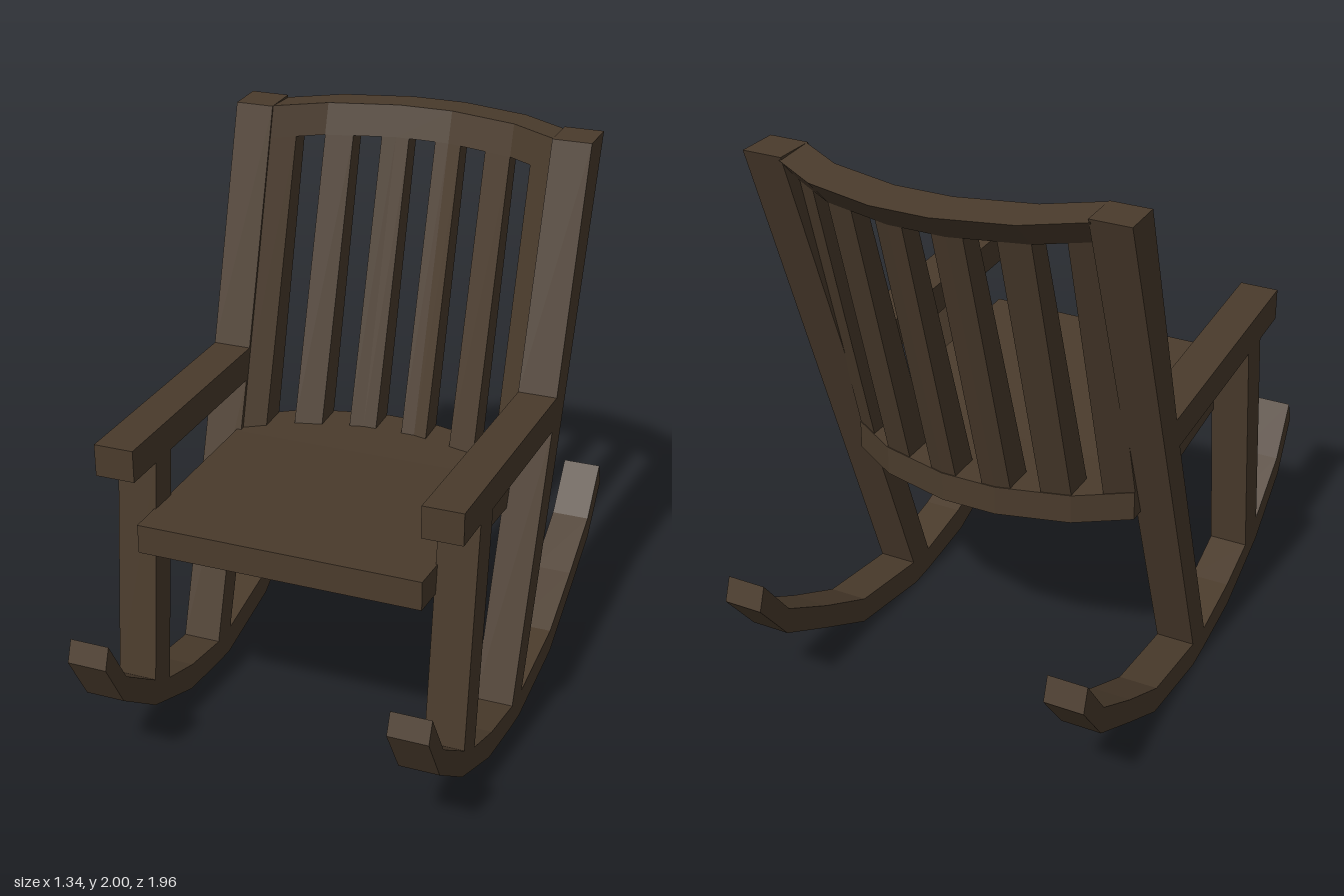
import * as THREE from 'three';

const wood = new THREE.MeshStandardMaterial({ color: 0x4a3b2c, flatShading: true });

// Stations across the curved back, and how far each comes forward of the middle
const STATIONS = [-0.53, -0.35, -0.1, 0.1, 0.35, 0.53];
function bow(x) {
  const a = Math.abs(x);
  if (a <= 0.1) return 0;
  return a <= 0.35 ? (a - 0.1) * 0.26 : 0.065 + (a - 0.35) * 0.63;
}

function addMesh(parent, name, geometry) {
  geometry.computeVertexNormals();
  const mesh = new THREE.Mesh(geometry, wood);
  mesh.name = name;
  parent.add(mesh);
}

// Board cut from a [z, y] outline, 0.14 wide, toed in slightly towards the front
function sideBoard(parent, name, side, outline) {
  const shape = new THREE.Shape(outline.map(([z, y]) => new THREE.Vector2(z, y)));
  const g = new THREE.ExtrudeGeometry(shape, { depth: 0.14, bevelEnabled: false });
  g.rotateY(-Math.PI / 2).translate(0.07 + side * 0.58, 0, 0);
  const p = g.attributes.position;
  for (let i = 0; i < p.count; i++) p.setX(i, p.getX(i) - side * 0.02 * p.getZ(i));
  addMesh(parent, name, g);
}

// Box whose vertices are placed by rule(x, top 0..1, front 0..1) -> [x, y, z]
function bentBox(parent, name, xs, depthSegments, rule) {
  const n = xs.length - 1;
  const g = new THREE.BoxGeometry(1, 1, 1, n, 1, depthSegments);
  const p = g.attributes.position;
  for (let i = 0; i < p.count; i++) {
    const x = xs[Math.round((p.getX(i) + 0.5) * n)];
    p.setXYZ(i, ...rule(x, p.getY(i) + 0.5, p.getZ(i) + 0.5));
  }
  addMesh(parent, name, g);
}

export function createModel() {
  const chair = new THREE.Group();
  chair.name = 'rockingChair';

  const outlines = {
    Rocker: [
      [0.95, 0.605], [0.84, 0.42], [0.63, 0.27], [0.52, 0.21], [0.33, 0.145], [0.1, 0.1],
      [-0.02, 0.1], [-0.36, 0.145], [-0.6, 0.265], [-0.82, 0.39], [-0.95, 0.56],
      [-0.98, 0.475], [-0.84, 0.3], [-0.6, 0.17], [-0.37, 0.05], [0, 0],
      [0.1, 0.01], [0.35, 0.05], [0.64, 0.17], [0.87, 0.34], [0.98, 0.53],
    ],
    FrontLeg: [[0.63, 0.26], [0.52, 0.2], [0.415, 1.085], [0.535, 1.095]],
    BackPost: [[0.1, 0.09], [-0.01, 0.09], [-0.25, 0.765], [-0.69, 2], [-0.54, 2], [-0.27, 1.155], [-0.235, 1.045]],
    Armrest: [[0.7, 1.205], [0.7, 1.09], [-0.235, 1.045], [-0.275, 1.16]],
  };
  for (const [side, word] of [[1, 'left'], [-1, 'right']]) {
    for (const [part, outline] of Object.entries(outlines)) {
      sideBoard(chair, word + part, side, outline);
    }
  }

  // Seat: sloping front section, level curved back section
  bentBox(chair, 'seat', STATIONS, 2, (x, top, front) => {
    if (front > 0.9) return [x * 0.5 / 0.53, 0.82 + top * 0.105, 0.69];
    const y = 0.765 + top * 0.105;
    return [x, y, front > 0.4 ? -0.16 : -0.485 + bow(x)];
  });

  // Top rail, deeper at its upper edge
  bentBox(chair, 'topRail', STATIONS, 1, (x, top, front) => {
    const z = top ? (front ? -0.72 : -0.87) : (front ? -0.685 : -0.77);
    return [x, top ? (front ? 2 : 1.99) : 1.89, z + bow(x)];
  });

  // Slats follow the bow and lean of the back
  const slats = [[0.05, 0.1, 0.15], [0.25, 0.35], [0.44, 0.53]];
  for (const side of [-1, 1]) {
    slats.forEach((xs, i) => {
      const across = side > 0 ? xs : xs.map((x) => -x).reverse();
      bentBox(chair, (side > 0 ? 'left' : 'right') + 'Slat' + (i + 1), across, 1, (x, top, front) => {
        const z = top ? (front ? -0.685 : -0.77) : (front ? -0.36 : -0.48);
        return [x, top ? 1.89 : 0.865, z + bow(x)];
      });
    });
  }

  return chair;
}
